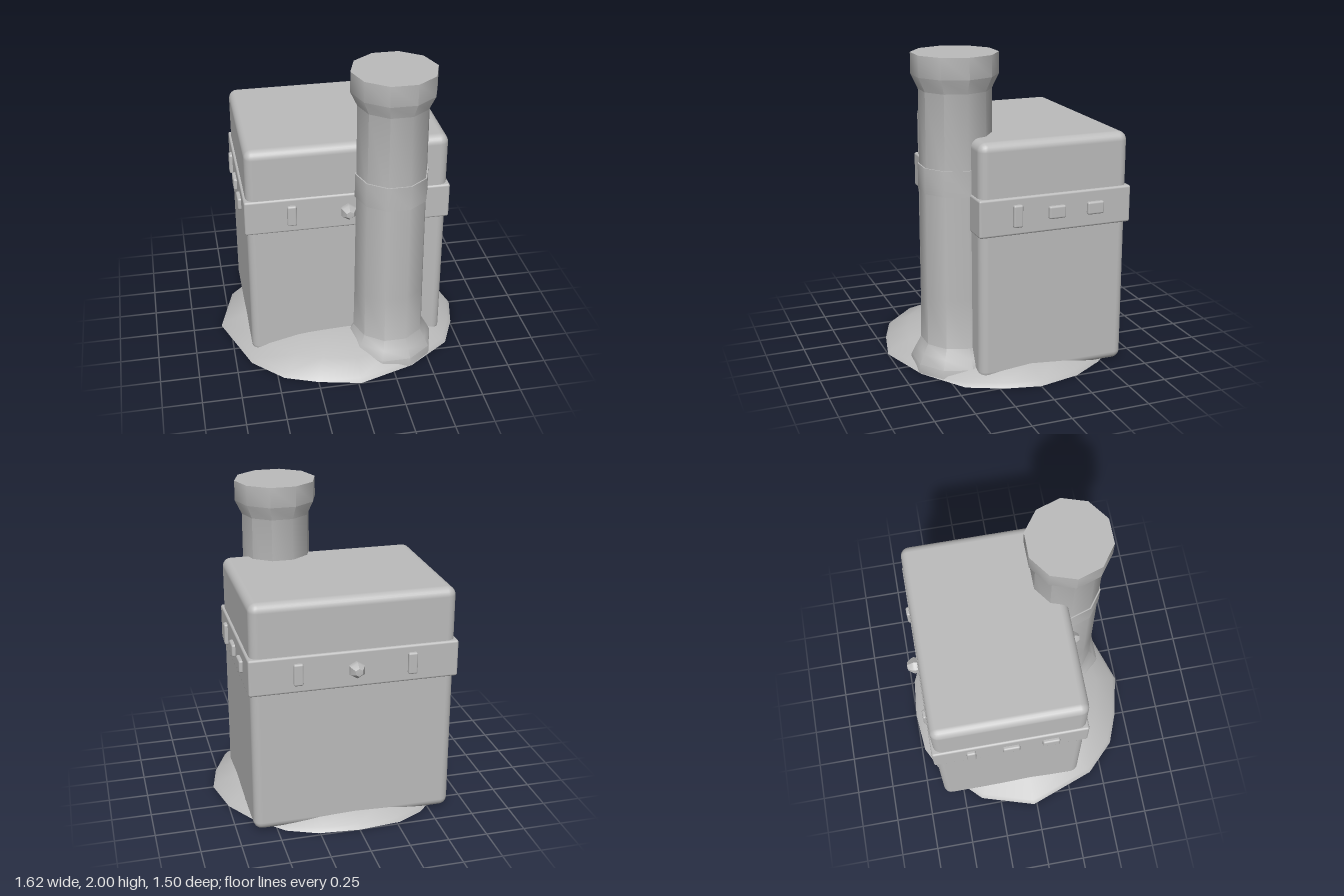
import * as THREE from 'three';
import { toCreasedNormals } from 'three/addons/utils/BufferGeometryUtils.js';
import { RoundedBoxGeometry } from 'three/addons/geometries/RoundedBoxGeometry.js';

const grey = new THREE.MeshStandardMaterial({ color: 0xbbbbbb });
grey.name = 'plain grey';

function part(group, name, geometry, x = 0, y = 0, z = 0) {
  const mesh = new THREE.Mesh(geometry, grey);
  mesh.name = name;
  mesh.position.set(x, y, z);
  group.add(mesh);
  return mesh;
}

// Rounded box given by its minimum and maximum corners
function block(group, name, lo, hi, radius, segments = 2) {
  const size = hi.map((v, i) => v - lo[i]);
  const mid = hi.map((v, i) => (v + lo[i]) / 2);
  return part(group, name, new RoundedBoxGeometry(...size, segments, radius), ...mid);
}

function lathe(points, sides, start) {
  const profile = points.map(([r, y]) => new THREE.Vector2(r, y));
  return toCreasedNormals(new THREE.LatheGeometry(profile, sides, start), 0.7);
}

// Low irregular mound: concentric copies of one outline rising to the middle
function moundGeometry() {
  const rim = [
    [0.81, 0], [0.75, -0.27], [0.62, -0.48], [0.45, -0.65], [0.26, -0.73], [0, -0.755],
    [-0.27, -0.73], [-0.43, -0.65], [-0.7, -0.38], [-0.81, -0.02], [-0.65, 0.42],
    [-0.46, 0.61], [-0.25, 0.69], [0.02, 0.75], [0.38, 0.635], [0.66, 0.44], [0.76, 0.22],
  ];
  const rings = [[1, 0], [0.97, 0.025], [0.8, 0.08], [0.62, 0.125], [0.42, 0.15]];
  const n = rim.length;
  const pos = [];
  const index = [];
  for (const [s, y] of rings) for (const [x, z] of rim) pos.push(x * s, y, z * s);
  const top = pos.length / 3;
  pos.push(0, 0.155, 0, 0, 0, 0);
  for (let i = 0; i < n; i++) {
    const j = (i + 1) % n;
    for (let r = 0; r < rings.length - 1; r++) {
      const a = r * n + i, b = r * n + j;
      index.push(a, b, b + n, a, b + n, a + n);
    }
    const last = (rings.length - 1) * n;
    index.push(last + i, last + j, top, j, i, top + 1);
  }
  const g = new THREE.BufferGeometry();
  g.setAttribute('position', new THREE.Float32BufferAttribute(pos, 3));
  g.setIndex(index);
  return toCreasedNormals(g, 0.7);
}

export function createModel() {
  const model = new THREE.Group();
  model.name = 'chimneyBlock';

  part(model, 'groundMound', moundGeometry());

  // Main block and the band around it
  block(model, 'body', [-0.63, 0.01, -0.635], [0.645, 1.51, 0.335], 0.055, 3);
  block(model, 'band', [-0.645, 0.94, -0.65], [0.66, 1.175, 0.345], 0.014);

  // Ten-sided chimney with flared foot, collar and wide mouth
  const chimney = new THREE.Group();
  chimney.name = 'chimney';
  chimney.position.set(0.275, 0, 0.357);
  model.add(chimney);
  const start = Math.PI / 10;
  part(chimney, 'shaft', lathe([
    [0, 0.003], [0.3, 0.003], [0.295, 0.06], [0.265, 0.12], [0.232, 0.18], [0.228, 0.5],
    [0.224, 1.2], [0.222, 1.78], [0.265, 1.87], [0.265, 2], [0, 2],
  ], 10, start));
  part(chimney, 'collar', lathe([
    [0.215, 1.16], [0.232, 1.16], [0.232, 1.32], [0.215, 1.32],
  ], 10, start));

  // Fittings on the band: plates on all sides, a faceted stud front and back
  const y = 1.06;
  const gem = lathe([[0.045, -0.02], [0.054, 0.02], [0.05, 0.035], [0.025, 0.068], [0, 0.07]], 6, 0);
  gem.rotateX(Math.PI / 2);
  for (const side of [1, -1]) {
    const faceZ = side > 0 ? 0.345 : -0.65;
    const faceX = side > 0 ? 0.66 : -0.645;
    for (const x of [-0.35, 0.36]) {
      block(model, 'tallPlate', [x - 0.03, y - 0.07, faceZ - 0.02], [x + 0.03, y + 0.07, faceZ + 0.02], 0.012);
    }
    const stud = part(model, 'stud', gem, 0.005, y, faceZ);
    if (side < 0) stud.rotation.y = Math.PI;

    [[0.255, 0.03, 0.07], [0, 0.055, 0.04], [-0.255, 0.055, 0.04]].forEach(([offset, w, h]) => {
      const z = -0.152 + side * offset;
      block(model, 'sidePlate', [faceX - 0.022, y - h, z - w], [faceX + 0.022, y + h, z + w], 0.012);
    });
  }

  return model;
}
